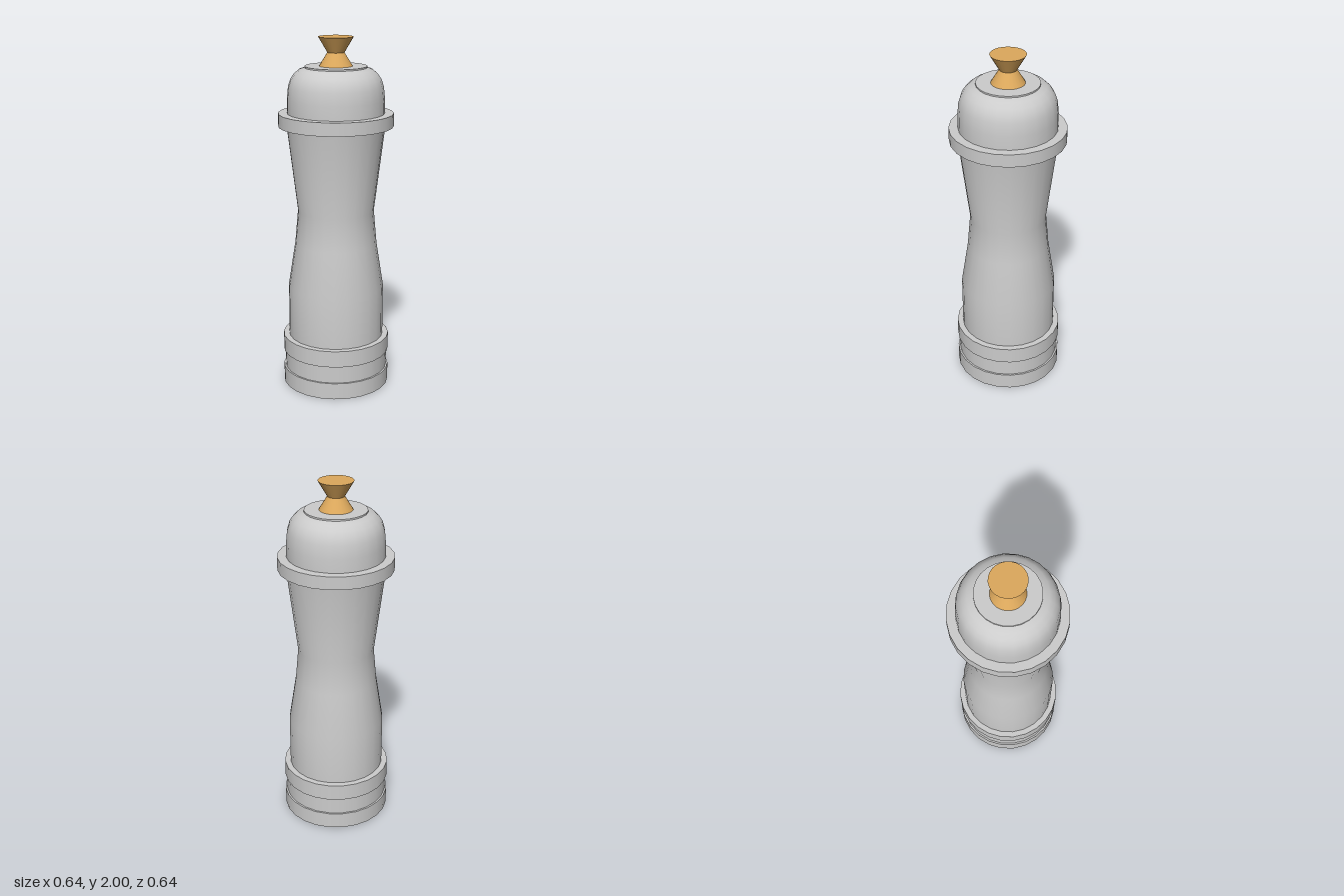
import * as THREE from 'three';
import { toCreasedNormals } from 'three/addons/utils/BufferGeometryUtils.js';

const SIDES = 24;

export function createModel() {
  const model = new THREE.Group();
  const grey = new THREE.MeshStandardMaterial({ color: 0xcccccc });
  const brass = new THREE.MeshStandardMaterial({ color: 0xdca85c });

  const add = (name, geometry, material = grey) => {
    const mesh = new THREE.Mesh(geometry, material);
    mesh.name = name;
    model.add(mesh);
  };

  // closed round section between two heights
  const ring = (name, y0, y1, r0, r1 = r0, material = grey) => {
    const geometry = new THREE.CylinderGeometry(r1, r0, y1 - y0, SIDES);
    geometry.translate(0, (y0 + y1) / 2, 0);
    add(name, geometry, material);
  };

  // turned section from [radius, height] pairs, bottom to top
  const turned = (name, profile) => {
    const points = profile.map(([r, y]) => new THREE.Vector2(r, y));
    add(name, toCreasedNormals(new THREE.LatheGeometry(points, SIDES), 0.6));
  };

  // stepped base
  ring('baseFoot', 0, 0.095, 0.305);
  ring('baseGroove', 0.095, 0.195, 0.295);
  ring('baseCollar', 0.195, 0.29, 0.305);

  // waisted body
  turned('body', [[0.272, 0.28], [0.272, 0.585], [0.232, 0.84], [0.215, 1.03], [0.275, 1.52]]);

  // neck flange and domed head
  ring('flange', 1.512, 1.585, 0.32);
  turned('head', [
    [0.27, 1.58], [0.27, 1.66], [0.263, 1.73], [0.25, 1.77],
    [0.232, 1.797], [0.205, 1.822], [0.168, 1.835],
  ]);
  ring('headPlate', 1.832, 1.842, 0.172);

  // hourglass knob
  ring('knobBase', 1.842, 1.915, 0.092, 0.047, brass);
  ring('knobTop', 1.915, 2, 0.047, 0.097, brass);

  return model;
}
